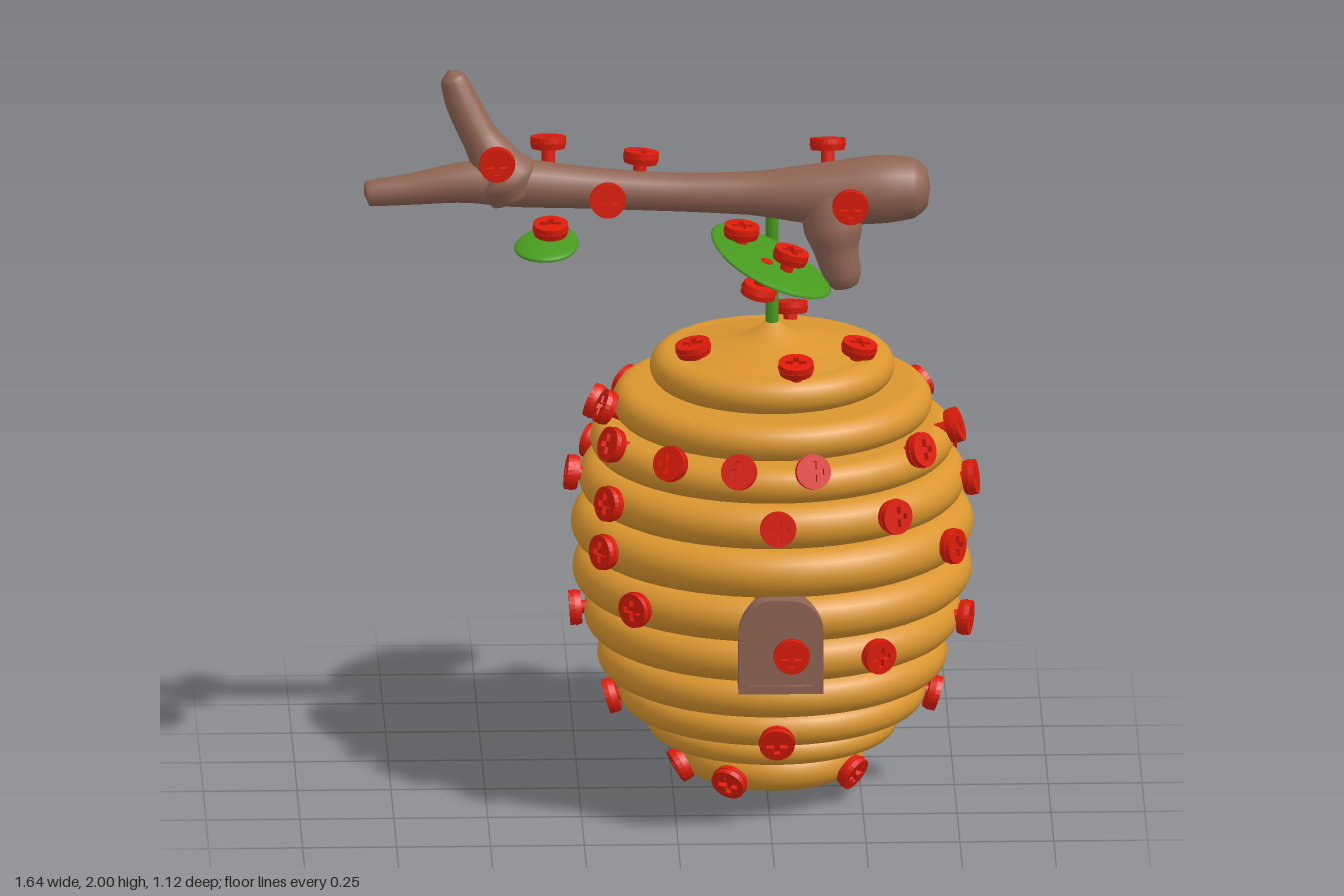
import * as THREE from 'three';
import { mergeGeometries } from 'three/addons/utils/BufferGeometryUtils.js';

const mat = (name, color) => {
  const m = new THREE.MeshStandardMaterial({ color });
  m.name = name;
  return m;
};

// Tapered limb: each point is [x, y, z, radius], swept with smooth rings
function limbGeometry(points, steps = 36, sides = 18) {
  const path = new THREE.CatmullRomCurve3(points.map(p => new THREE.Vector3(p[0], p[1], p[2])));
  const radii = new THREE.CatmullRomCurve3(points.map(p => new THREE.Vector3(p[3], 0, 0)));
  const pos = [], idx = [];
  const n1 = new THREE.Vector3(0, 0, 1);
  for (let i = 0; i <= steps; i++) {
    const t = i / steps, c = path.getPoint(t);
    const r = Math.max(0.0005, radii.getPoint(t).x);
    const n2 = path.getTangent(t).cross(n1).normalize();
    for (let j = 0; j < sides; j++) {
      const a = (j / sides) * Math.PI * 2;
      const p = c.clone().addScaledVector(n1, r * Math.cos(a)).addScaledVector(n2, r * Math.sin(a));
      pos.push(p.x, p.y, p.z);
      if (i < steps) {
        const q = i * sides + j, s = i * sides + (j + 1) % sides;
        idx.push(q, s, q + sides, s, s + sides, q + sides);
      }
    }
  }
  const g = new THREE.BufferGeometry();
  g.setAttribute('position', new THREE.Float32BufferAttribute(pos, 3));
  g.setIndex(idx);
  g.computeVertexNormals();
  return g;
}

// Egg-shaped leaf lying in a tilted plane
function leafGeometry([cx, cy, cz], [dx, dz], length, width, [sx, sz]) {
  const g = new THREE.SphereGeometry(1, 28, 14), p = g.attributes.position;
  for (let i = 0; i < p.count; i++) {
    const u = p.getX(i) * length, v = p.getZ(i) * width * (1 + 0.15 * p.getX(i));
    const x = u * dx - v * dz, z = u * dz + v * dx;
    p.setXYZ(i, cx + x, cy + sx * x + sz * z + p.getY(i) * 0.018, cz + z);
  }
  g.computeVertexNormals();
  return g;
}

// Cross-slotted screw along +z, underside of the head at the origin
function screwGeometry() {
  const head = new THREE.Shape().absarc(0, 0, 0.047, 0, Math.PI * 2);
  const l = 0.028, w = 0.008;
  head.holes.push(new THREE.Path([
    [w, w], [w, l], [-w, l], [-w, w], [-l, w], [-l, -w],
    [-w, -w], [-w, -l], [w, -l], [w, -w], [l, -w], [l, w],
  ].map(([x, y]) => new THREE.Vector2(x, y))));
  const top = new THREE.ExtrudeGeometry(head, { depth: 0.016, bevelEnabled: false, curveSegments: 12 });
  top.translate(0, 0, 0.016);
  const base = new THREE.CylinderGeometry(0.049, 0.044, 0.017, 24).rotateX(Math.PI / 2).translate(0, 0, 0.0085);
  const shank = new THREE.CylinderGeometry(0.018, 0.018, 0.07, 12).rotateX(Math.PI / 2).translate(0, 0, -0.034);
  return mergeGeometries([top, base.toNonIndexed(), shank.toNonIndexed()]);
}

function archShape(w, y0, y1, r) {
  const s = new THREE.Shape();
  s.moveTo(-w, y0);
  s.lineTo(w, y0);
  s.lineTo(w, y1 - r);
  s.absarc(w - r, y1 - r, r, 0, Math.PI / 2);
  s.absarc(r - w, y1 - r, r, Math.PI / 2, Math.PI);
  s.closePath();
  return s;
}

export function createModel() {
  const model = new THREE.Group();
  const honey = mat('honey', 0xdb962f), bark = mat('bark', 0x8f6453);
  const leafGreen = mat('leaf green', 0x479a1e), red = mat('screw red', 0xdc1c0a);
  const add = (name, geometry, material, parent = model) => {
    const m = new THREE.Mesh(geometry, material);
    m.name = name;
    parent.add(m);
    return m;
  };
  const CX = 0.265, CZ = -0.005;

  // Hive: stacked round-edged rings between pointed caps
  const hive = new THREE.Group();
  hive.name = 'hive';
  hive.position.set(CX, 0, CZ);
  model.add(hive);
  const edges = [0.05, 0.155, 0.23, 0.325, 0.435, 0.555, 0.68, 0.81, 0.93, 1.03, 1.13, 1.225];
  const radii = [0.245, 0.335, 0.41, 0.466, 0.502, 0.532, 0.536, 0.515, 0.485, 0.426, 0.326];
  radii.forEach((R, i) => {
    const y = (edges[i] + edges[i + 1]) / 2, h = (edges[i + 1] - edges[i]) / 2;
    const profile = [new THREE.Vector2(R - 0.19, y - h)];
    for (let k = 0; k <= 10; k++) {
      const a = (k / 10 - 0.5) * Math.PI;
      profile.push(new THREE.Vector2(R - h + h * Math.cos(a), y + h * Math.sin(a)));
    }
    profile.push(new THREE.Vector2(R - 0.19, y + h));
    add('hiveRing', new THREE.LatheGeometry(profile, 56), honey, hive);
  });
  const cap = (name, pts) => add(name,
    new THREE.LatheGeometry(pts.map(([r, y]) => new THREE.Vector2(r, y)), 56), honey, hive);
  cap('hiveTop', [[0.29, 1.218], [0.2, 1.236], [0.1, 1.253], [0.05, 1.272], [0.02, 1.298], [0, 1.302]]);
  cap('hiveTip', [[0, 0], [0.02, 0.008], [0.045, 0.026], [0.1, 0.037], [0.21, 0.052]]);

  // Arched door with raised frame
  const door = new THREE.Group();
  door.name = 'door';
  door.position.set(0.273, 0, 0);
  model.add(door);
  const frame = archShape(0.113, 0.43, 0.69, 0.09);
  frame.holes.push(archShape(0.085, 0.452, 0.665, 0.068));
  add('doorFrame', new THREE.ExtrudeGeometry(frame, { depth: 0.12, bevelEnabled: false }), bark, door).position.z = 0.42;
  add('doorPanel', new THREE.ExtrudeGeometry(archShape(0.09, 0.44, 0.67, 0.07), { depth: 0.11, bevelEnabled: false }),
    bark, door).position.z = 0.42;

  // Branch with an upper twig and a lower stub
  add('branch', limbGeometry([
    [-0.822, 1.665, 0, 0], [-0.812, 1.667, 0, 0.034], [-0.7, 1.678, 0, 0.042], [-0.55, 1.695, -0.005, 0.056],
    [-0.42, 1.69, -0.01, 0.065], [-0.2, 1.672, -0.012, 0.055], [0, 1.66, -0.012, 0.052],
    [0.2, 1.656, -0.008, 0.058], [0.4, 1.655, 0, 0.084], [0.55, 1.667, 0.003, 0.092],
    [0.64, 1.67, 0.003, 0.082], [0.678, 1.67, 0.003, 0.05], [0.685, 1.67, 0.003, 0],
  ], 60), bark);
  add('upperTwig', limbGeometry([
    [-0.42, 1.66, -0.01, 0.07], [-0.46, 1.73, -0.01, 0.07], [-0.515, 1.82, -0.02, 0.049],
    [-0.56, 1.91, -0.035, 0.045], [-0.585, 1.975, -0.04, 0.034], [-0.595, 1.998, -0.042, 0],
  ]), bark);
  add('lowerStub', limbGeometry([
    [0.41, 1.67, 0.01, 0.075], [0.425, 1.58, 0.025, 0.08], [0.435, 1.51, 0.037, 0.06],
    [0.452, 1.44, 0.042, 0.05], [0.46, 1.412, 0.042, 0.034], [0.462, 1.403, 0.042, 0],
  ]), bark);

  // Stem and leaves
  add('stem', new THREE.CylinderGeometry(0.017, 0.017, 0.36, 16).translate(CX, 1.45, CZ), leafGreen);
  add('frontLeaf', leafGeometry([0.245, 1.55, 0.255], [0.45, 0.89], 0.21, 0.142, [-0.35, -0.06]), leafGreen);
  add('backLeaf', leafGeometry([0.32, 1.548, -0.265], [0.66, -0.75], 0.225, 0.14, [0, 0.31]), leafGreen);
  add('smallLeaf', leafGeometry([-0.337, 1.57, 0.15], [-0.3, 0.95], 0.115, 0.083, [0, -0.12]), leafGreen);

  // Screws
  const screwGeo = screwGeometry(), forward = new THREE.Vector3(0, 0, 1);
  const screw = (x, y, z, nx, ny, nz) => {
    const s = add('screw', screwGeo, red);
    s.position.set(x, y, z);
    s.quaternion.setFromUnitVectors(forward, new THREE.Vector3(nx, ny, nz).normalize());
  };
  // Hive rows: height, radius of the head, vertical tilt, angles from the front
  [
    [1.025, 0.475, 0.35, [-35, -12, 11, 52, 80, 126, 150, 175, -156, -130, -108, -62]],
    [1.075, 0.435, 0.5, [-82]],
    [0.885, 0.518, 0.15, [0, 36, 80, 120, 165, -150, -118, -88, -56]],
    [0.755, 0.535, 0.08, [-56, 59, 140, -130]],
    [0.625, 0.535, 0, [-43]],
    [0.505, 0.508, -0.06, [31, 77, 180, -90]],
    [0.262, 0.412, -0.3, [0, 90, 180, -90]],
    [0.092, 0.24, -0.5, [-28, 55, 137, -75]],
  ].forEach(([y, r, tilt, angles]) => angles.forEach(deg => {
    const a = deg * Math.PI / 180, s = Math.sin(a), c = Math.cos(a);
    screw(CX + r * s, y, CZ + r * c, s, tilt, c);
  }));
  // Door, hive top, branch and leaves
  [
    [0.3, 0.54, 0.535, 0, 0, 1],
    [0.055, 1.243, 0.1, -0.2, 1, 0.1], [0.49, 1.243, 0.11, 0.2, 1, 0.1],
    [0.32, 1.243, 0.275, 0, 1, 0.2], [0.32, 1.243, -0.25, 0, 1, -0.2],
    [-0.47, 1.77, 0.06, 0, 0, 1], [-0.175, 1.665, 0.06, 0, 0.1, 1], [0.47, 1.655, 0.1, 0, 0, 1],
    [-0.33, 1.775, -0.045, 0, 1, -0.15], [-0.085, 1.735, -0.035, 0.1, 1, -0.1], [0.415, 1.755, -0.07, 0, 1, -0.25],
    [0.175, 1.608, 0.22, 0.1, 1, 0.05], [0.3, 1.57, 0.32, 0.3, 1, 0.05], [0.225, 1.5, 0.3, -0.25, -1, -0.1],
    [0.3, 1.6, -0.185, 0, 1, -0.25], [0.34, 1.572, -0.335, 0, 1, -0.25],
    [-0.33, 1.6, 0.16, 0, 1, 0.15],
  ].forEach(s => screw(...s));

  return model;
}
